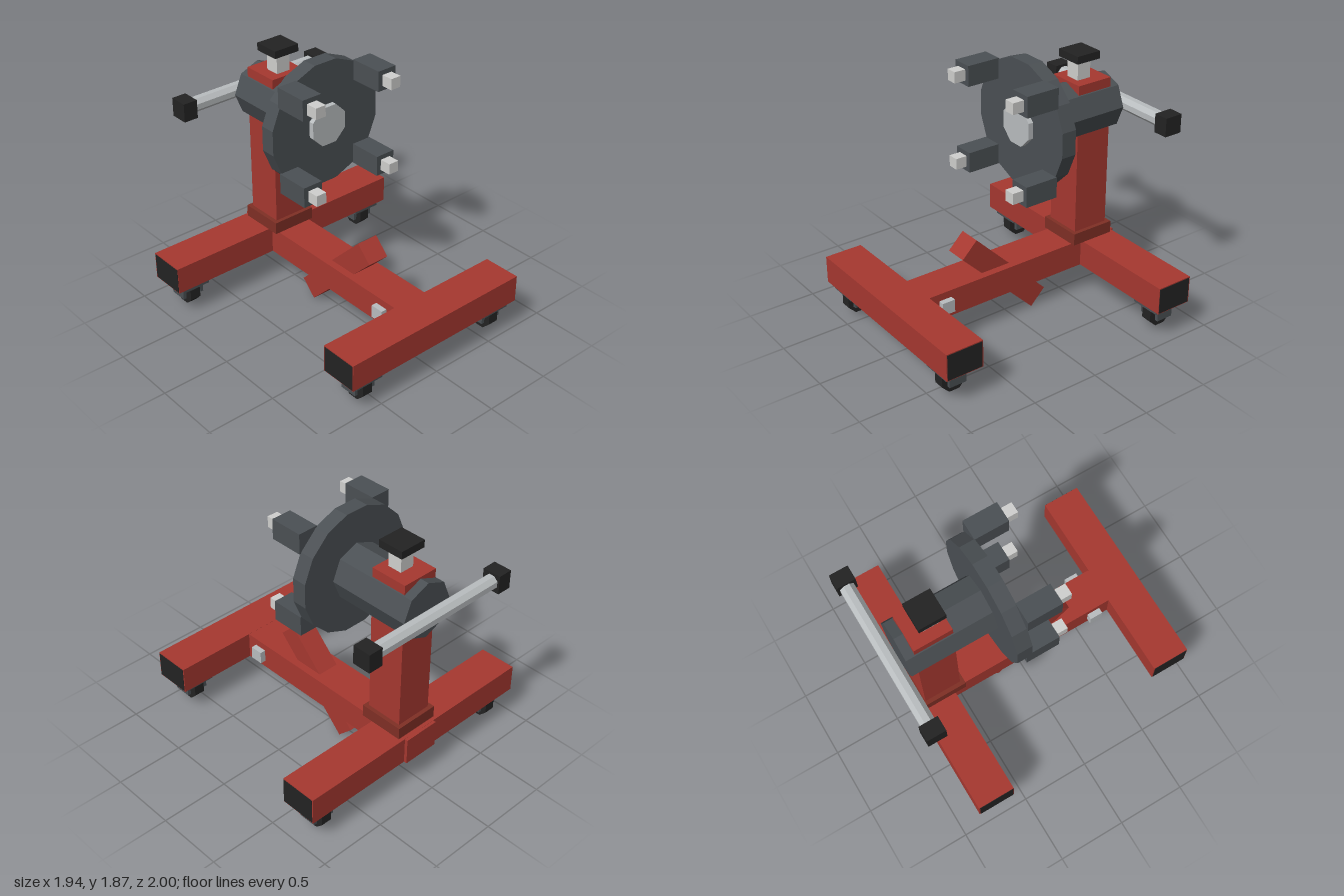
import * as THREE from 'three';

export function createModel() {
  const root = new THREE.Group();
  root.name = 'engineStand';

  const mat = (name, color) => {
    const m = new THREE.MeshStandardMaterial({ color, flatShading: true });
    m.name = name;
    return m;
  };
  const red = mat('red paint', 0xa63830);
  const darkRed = mat('dark red paint', 0x802f25);
  const grey = mat('dark grey steel', 0x4b5054);
  const black = mat('black rubber', 0x232323);
  const silver = mat('silver steel', 0xb9bdbf);
  const light = mat('light steel', 0xd0d0ce);

  const add = (name, geo, material, x, y, z, parent = root) => {
    const m = new THREE.Mesh(geo, material);
    m.name = name;
    m.position.set(x, y, z);
    parent.add(m);
    return m;
  };
  // Box given by its limits on each axis
  const box = (name, material, [x0, x1], [y0, y1], [z0, z1], parent) =>
    add(name, new THREE.BoxGeometry(x1 - x0, y1 - y0, z1 - z0), material,
      (x0 + x1) / 2, (y0 + y1) / 2, (z0 + z1) / 2, parent);
  // Prism along x or z; flat puts a flat side (not a corner) on top, with r as its distance
  const prism = (r, length, sides, axis, flat) => {
    const radius = flat ? r / Math.cos(Math.PI / sides) : r;
    const g = new THREE.CylinderGeometry(radius, radius, length, sides, 1, false, flat ? Math.PI / sides : 0);
    return axis === 'x' ? g.rotateZ(Math.PI / 2) : g.rotateX(Math.PI / 2);
  };

  // Floor frame
  box('spine', red, [-0.137, 0.137], [0.24, 0.44], [-0.88, 0.73]);
  box('frontBar', red, [-0.745, 0.745], [0.24, 0.441], [0.72, 1.0]);
  box('rearBar', red, [-0.965, 0.965], [0.24, 0.441], [-0.857, -0.58]);
  for (const s of [-1, 1]) {
    add('frontBarCap', new THREE.BoxGeometry(0.006, 0.188, 0.265), black, s * 0.745, 0.34, 0.861);
    add('rearBarCap', new THREE.BoxGeometry(0.006, 0.188, 0.265), black, s * 0.965, 0.34, -0.716);
  }
  box('crossPin', silver, [-0.18, 0.18], [0.293, 0.387], [0.545, 0.643]);

  // Slanted brace through the spine
  const brace = add('brace', new THREE.BoxGeometry(0.164, 0.831, 0.163), red, 0, 0.36, 0.0575);
  brace.rotation.x = Math.PI / 4;

  // Casters
  const caster = (x, z) => {
    const c = new THREE.Group();
    c.name = 'caster';
    c.position.set(x, 0, z);
    root.add(c);
    box('casterPlate', grey, [-0.11, 0.11], [0.2, 0.24], [-0.11, 0.11], c);
    for (const s of [-1, 1]) add('casterFork', new THREE.BoxGeometry(0.025, 0.09, 0.13), grey, s * 0.072, 0.16, 0, c);
    add('casterWheel', prism(0.092, 0.08, 8, 'x', true), black, 0, 0.142, 0, c);
  };
  for (const s of [-1, 1]) {
    caster(s * 0.583, 0.864);
    caster(s * 0.804, -0.717);
  }

  // Upright
  box('collar', darkRed, [-0.168, 0.168], [0.44, 0.53], [-0.83, -0.493]);
  box('column', red, [-0.138, 0.138], [0.53, 1.645], [-0.8, -0.522]);

  // Rotating head
  const cy = 1.427;
  add('hub', prism(0.206, 0.63, 8, 'z', false), grey, 0, cy, -0.552);
  add('faceplate', prism(0.449, 0.11, 16, 'z', true), grey, 0, cy, -0.187);
  add('centreBoss', prism(0.14, 0.05, 8, 'z', true), silver, 0, cy, -0.12);
  for (const x of [-0.32, 0.32]) {
    for (const y of [1.109, 1.745]) {
      add('mountArm', new THREE.BoxGeometry(0.15, 0.148, 0.25), grey, x, y, -0.011);
      add('mountBolt', new THREE.BoxGeometry(0.08, 0.08, 0.1), light, x, y, 0.15);
    }
  }

  // Locking knob on top
  box('knobStem', light, [-0.055, 0.055], [1.64, 1.79], [-0.685, -0.577]);
  box('knobCap', black, [-0.1, 0.1], [1.785, 1.84], [-0.73, -0.535]);

  // Turning handle at the back
  add('handleBar', prism(0.05, 1.1, 8, 'x', true), silver, 0, cy, -0.934);
  for (const s of [-1, 1]) {
    add('handleGrip', new THREE.BoxGeometry(0.108, 0.136, 0.136), black, s * 0.582, cy, -0.932);
  }

  return root;
}
